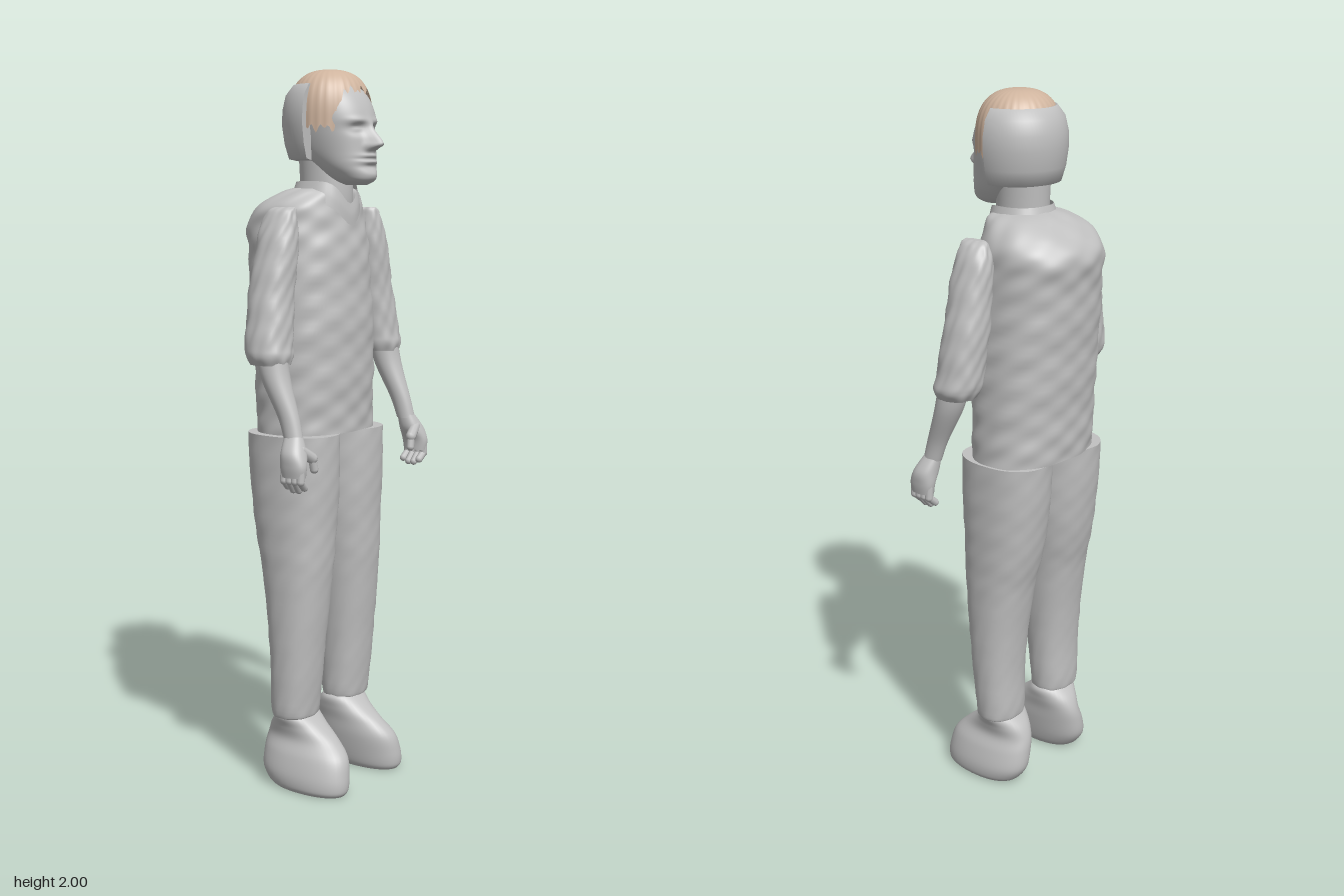
import * as THREE from 'three';

const grey = new THREE.MeshStandardMaterial({ color: 0xc0c0c0, side: THREE.DoubleSide });
grey.name = 'plain grey';
const brown = new THREE.MeshStandardMaterial({ color: 0xcfb49e, side: THREE.DoubleSide });
brown.name = 'hair brown';

// Smooth bump centred on zero
const bump = (d, s) => Math.exp(-(d * d) / (2 * s * s));

function add(group, name, geometry, material = grey) {
  const mesh = new THREE.Mesh(geometry, material);
  mesh.name = name;
  group.add(mesh);
  return mesh;
}

function catmull(a, b, c, d, t) {
  return b + 0.5 * t * (c - a + t * (2 * a - 5 * b + 4 * c - d + t * (3 * (b - c) + d - a)));
}

// Skin over sections [y, xMin, xMax, zBack, zFront]; side -1 mirrors the part
function loft(sections, { side = 1, power = 2.3, seg = 40, sub = 6, sculpt = null, capped = true } = {}) {
  let rows = sections.map(([y, a, b, c, d]) => (side > 0 ? [y, a, b, c, d] : [y, -b, -a, c, d]));
  if (rows[0][0] > rows[rows.length - 1][0]) rows = rows.reverse();
  const at = (i) => rows[Math.min(Math.max(i, 0), rows.length - 1)];
  const n = (rows.length - 1) * sub;
  const pos = [], index = [];
  for (let i = 0; i <= n; i++) {
    const k = Math.min(Math.floor(i / sub), rows.length - 2), t = i / sub - k;
    const [y, x0, x1, z0, z1] = at(k).map((_, m) =>
      catmull(at(k - 1)[m], at(k)[m], at(k + 1)[m], at(k + 2)[m], t));
    for (let j = 0; j < seg; j++) {
      const a = (j / seg) * Math.PI * 2, s = Math.sin(a), c = Math.cos(a);
      const r = Math.pow(Math.pow(Math.abs(s), power) + Math.pow(Math.abs(c), power), -1 / power);
      const p = new THREE.Vector3((x0 + x1) / 2 + ((x1 - x0) / 2) * r * s, y, (z0 + z1) / 2 + ((z1 - z0) / 2) * r * c);
      if (sculpt) sculpt(p, a);
      pos.push(p.x, p.y, p.z);
      if (i < n) {
        const q = i * seg + j, w = i * seg + ((j + 1) % seg);
        index.push(q, w, w + seg, q, w + seg, q + seg);
      }
    }
  }
  if (capped) {
    for (const [row, flip] of [[0, true], [n, false]]) {
      const start = pos.length / 3, mid = [0, 0, 0];
      for (let j = 0; j < seg; j++) {
        for (let m = 0; m < 3; m++) {
          const v = pos[(row * seg + j) * 3 + m];
          pos.push(v);
          mid[m] += v / seg;
        }
      }
      pos.push(...mid);
      for (let j = 0; j < seg; j++) {
        const q = start + j, w = start + ((j + 1) % seg);
        index.push(start + seg, flip ? w : q, flip ? q : w);
      }
    }
  }
  const g = new THREE.BufferGeometry();
  g.setAttribute('position', new THREE.Float32BufferAttribute(pos, 3));
  g.setIndex(index);
  g.computeVertexNormals();
  return g;
}

// Rounded finger segment between two points
function finger(group, name, a, b, radius, side) {
  const p = new THREE.Vector3(a[0] * side, a[1], a[2]), q = new THREE.Vector3(b[0] * side, b[1], b[2]);
  const d = q.clone().sub(p);
  const mesh = add(group, name, new THREE.CapsuleGeometry(radius, d.length(), 5, 10));
  mesh.position.copy(p).add(q).multiplyScalar(0.5);
  mesh.quaternion.setFromUnitVectors(new THREE.Vector3(0, 1, 0), d.normalize());
}

// Cloth creases push points sideways and in depth
const creases = (amount) => (p, a) => {
  const w = amount * (Math.sin(p.y * 55 + 3 * Math.sin(a * 2)) * Math.sin(a * 5 + p.y * 17) + 0.5 * Math.sin(a * 9 - p.y * 90));
  p.x += w * Math.sin(a);
  p.z += w * Math.cos(a);
};

// Nose, eyes, brows, lips and chin
function face(p) {
  if (p.z < 0.08) return;
  const x = Math.abs(p.x), y = p.y;
  p.z += 0.042 * bump(x, 0.012) * bump(y - 1.797, y < 1.797 ? 0.009 : 0.02)
    + 0.01 * bump(x - 0.016, 0.007) * bump(y - 1.79, 0.008)
    + 0.012 * bump(x, 0.01) * bump(y - 1.835, 0.018)
    - 0.014 * bump(x - 0.038, 0.017) * bump(y - 1.838, 0.01)
    + 0.007 * bump(x - 0.038, 0.012) * bump(y - 1.836, 0.005)
    + 0.006 * bump(x - 0.04, 0.022) * bump(y - 1.859, 0.007)
    + 0.008 * bump(x, 0.022) * (bump(y - 1.766, 0.005) + bump(y - 1.751, 0.005))
    - 0.006 * bump(x, 0.026) * bump(y - 1.7585, 0.003)
    - 0.004 * bump(x, 0.03) * bump(y - 1.738, 0.006)
    + 0.006 * bump(x, 0.025) * bump(y - 1.715, 0.01);
}

// Hair dome with a hairline that drops at the temples
function hairGeometry() {
  const seg = 120, rings = 24, pos = [], index = [];
  for (let i = 0; i <= rings; i++) {
    for (let j = 0; j < seg; j++) {
      const a = (j / seg) * Math.PI * 2, fromFront = Math.min(a, Math.PI * 2 - a);
      const drop = THREE.MathUtils.smoothstep(fromFront, 0.55, 0.85);
      const back = THREE.MathUtils.smoothstep(fromFront, 1.55, 1.9);
      const edge = 1.94 - 0.1 * drop + 0.05 * back + 0.008 * Math.sin(a * 31) + 0.006 * Math.sin(a * 17 + 1);
      const y = edge + (2 - edge) * Math.sin((i / rings) * Math.PI / 2);
      const h = Math.max(0, (y - 1.86) / 0.14);
      const r = Math.pow(Math.max(0, 1 - Math.pow(h, 2.6)), 1 / 2.6) * (1 + 0.008 * Math.sin(a * 30));
      pos.push(0.12 * r * Math.sin(a), y, 0.032 + 0.114 * r * Math.cos(a));
      if (i < rings) {
        const q = i * seg + j, w = i * seg + ((j + 1) % seg);
        index.push(q, w, w + seg, q, w + seg, q + seg);
      }
    }
  }
  const g = new THREE.BufferGeometry();
  g.setAttribute('position', new THREE.Float32BufferAttribute(pos, 3));
  g.setIndex(index);
  g.computeVertexNormals();
  return g;
}

export function createModel() {
  const model = new THREE.Group();
  model.name = 'standingFigure';

  // Shirt and collar
  add(model, 'shirt', loft([
    [1.01, -0.18, 0.2, -0.16, 0.11], [1.1, -0.18, 0.195, -0.165, 0.115], [1.3, -0.18, 0.19, -0.18, 0.12],
    [1.5, -0.175, 0.18, -0.195, 0.11], [1.58, -0.17, 0.178, -0.2, 0.1], [1.63, -0.16, 0.165, -0.165, 0.09],
    [1.67, -0.115, 0.125, -0.105, 0.085], [1.685, -0.07, 0.07, -0.06, 0.08],
  ], { seg: 96, sub: 12, sculpt: creases(0.0025) }));
  add(model, 'collar', loft([
    [1.64, -0.1, 0.1, -0.08, 0.105], [1.67, -0.09, 0.09, -0.07, 0.105], [1.7, -0.08, 0.08, -0.06, 0.1],
  ], { capped: false, sculpt: (p, a) => { p.y -= 0.06 * bump(Math.min(a, Math.PI * 2 - a), 0.4); } }));

  // Neck and head
  add(model, 'neck', loft([
    [1.6, -0.075, 0.075, -0.055, 0.09], [1.67, -0.068, 0.068, -0.055, 0.095], [1.78, -0.07, 0.07, -0.06, 0.09],
  ], { power: 2 }));
  add(model, 'head', loft([
    [1.69, -0.025, 0.025, 0.09, 0.15], [1.7, -0.045, 0.045, 0.06, 0.168], [1.715, -0.06, 0.06, 0.03, 0.172],
    [1.74, -0.076, 0.076, 0, 0.17], [1.78, -0.09, 0.09, -0.05, 0.166], [1.83, -0.1, 0.1, -0.065, 0.162],
    [1.88, -0.104, 0.104, -0.07, 0.158], [1.93, -0.096, 0.096, -0.06, 0.132], [1.965, -0.065, 0.065, -0.03, 0.09],
    [1.98, -0.02, 0.02, 0.01, 0.05],
  ], { seg: 112, sub: 12, power: 2.15, sculpt: face }));
  add(model, 'hair', hairGeometry(), brown);

  // Half shell round the back of the head, closed at both ends
  const outline = [[0.095, 1.755], [0.118, 1.76], [0.13, 1.8], [0.137, 1.85], [0.136, 1.89], [0.127, 1.93],
    [0.106, 1.958], [0.092, 1.955], [0.1, 1.88], [0.095, 1.755]].map(([x, y]) => new THREE.Vector2(x, y));
  const shell = new THREE.Group();
  shell.name = 'backOfHead';
  shell.position.z = 0.038;
  model.add(shell);
  add(shell, 'headShell', new THREE.LatheGeometry(outline, 40, Math.PI / 2, Math.PI));
  const end = new THREE.ShapeGeometry(new THREE.Shape(outline));
  add(shell, 'leftShellEnd', end);
  const mirroredEnd = end.clone().rotateY(Math.PI);
  mirroredEnd.setAttribute('normal', end.getAttribute('normal').clone());
  mirroredEnd.setIndex([...mirroredEnd.index.array].reverse());
  add(shell, 'rightShellEnd', mirroredEnd);

  for (const side of [1, -1]) {
    const label = side > 0 ? 'left' : 'right';

    // Trouser leg and shoe
    add(model, label + 'TrouserLeg', loft([
      [1.01, 0.005, 0.208, -0.15, 0.118], [0.9, 0.004, 0.21, -0.142, 0.118], [0.8, 0.005, 0.21, -0.13, 0.112],
      [0.7, 0.015, 0.208, -0.112, 0.107], [0.6, 0.026, 0.206, -0.09, 0.1], [0.4, 0.042, 0.202, -0.065, 0.08],
      [0.23, 0.048, 0.196, -0.06, 0.062], [0.205, 0.055, 0.188, -0.055, 0.055],
    ], { side, sculpt: creases(0.001) }));
    add(model, label + 'Shoe', loft([
      [0, 0.08, 0.19, -0.055, 0.175], [0.015, 0.07, 0.2, -0.075, 0.184], [0.05, 0.062, 0.2, -0.097, 0.184],
      [0.1, 0.055, 0.186, -0.1, 0.172], [0.14, 0.052, 0.168, -0.095, 0.135], [0.175, 0.046, 0.172, -0.08, 0.09],
      [0.205, 0.045, 0.18, -0.055, 0.055], [0.22, 0.07, 0.16, -0.04, 0.04],
    ], { side, power: 2.2 }));

    // Sleeve, forearm and hand
    add(model, label + 'Sleeve', loft([
      [1.63, 0.18, 0.2, -0.015, 0.05], [1.615, 0.17, 0.225, -0.03, 0.058], [1.55, 0.163, 0.255, -0.045, 0.068],
      [1.4, 0.178, 0.295, -0.05, 0.07], [1.28, 0.195, 0.318, -0.045, 0.078], [1.24, 0.2, 0.324, -0.038, 0.084],
      [1.215, 0.212, 0.312, -0.025, 0.078],
    ], { side, sub: 9, seg: 60, sculpt: creases(0.002) }));
    add(model, label + 'Forearm', loft([
      [1.26, 0.225, 0.305, -0.015, 0.075], [1.18, 0.23, 0.308, 0.008, 0.088], [1.08, 0.245, 0.296, 0.06, 0.122],
      [1.02, 0.25, 0.296, 0.083, 0.138],
    ], { side, power: 2 }));
    add(model, label + 'Palm', loft([
      [1.03, 0.252, 0.294, 0.085, 0.135], [0.99, 0.255, 0.32, 0.087, 0.155], [0.955, 0.272, 0.322, 0.088, 0.166],
      [0.925, 0.275, 0.318, 0.093, 0.163],
    ], { side }));
    for (let i = 0; i < 4; i++) {
      const z = 0.1 + i * 0.018, tip = 0.885 + 0.008 * Math.abs(i - 1.5);
      finger(model, label + 'Finger', [0.3, 0.945, z], [0.302, 0.915, z], 0.0115, side);
      finger(model, label + 'Fingertip', [0.302, 0.915, z], [0.282, tip, z - 0.003], 0.0105, side);
    }
    finger(model, label + 'ThumbBase', [0.28, 0.995, 0.138], [0.242, 0.97, 0.148], 0.015, side);
    finger(model, label + 'Thumb', [0.242, 0.97, 0.148], [0.236, 0.94, 0.15], 0.0115, side);
  }
  return model;
}
